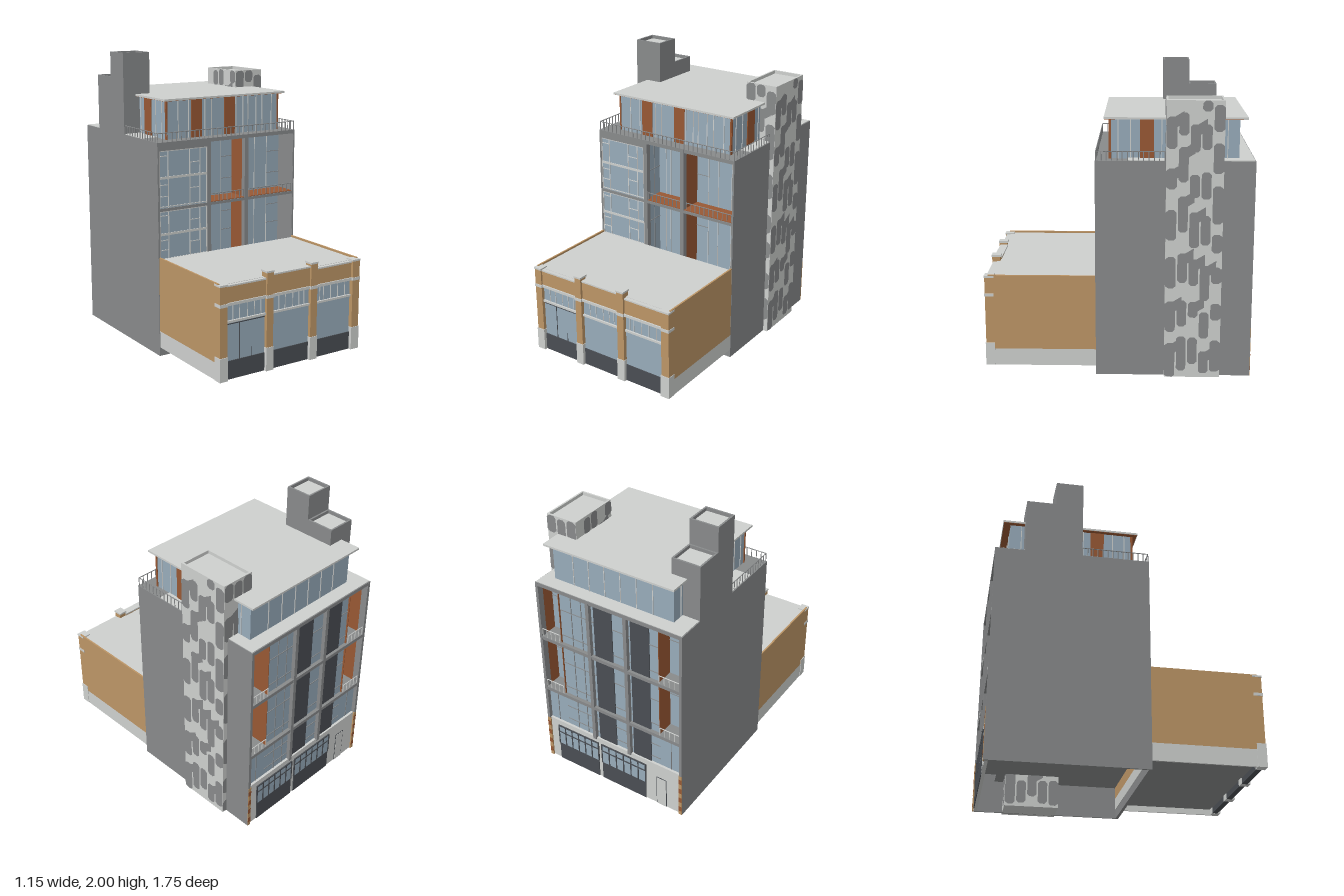
import * as THREE from 'three';

const mat = (name, color) => {
  const m = new THREE.MeshStandardMaterial({ color });
  m.name = name;
  return m;
};

export function createModel() {
  const concrete = mat('concrete', 0x888a8b), light = mat('light stone', 0xced0ce);
  const tan = mat('tan brick', 0xbc9566), glass = mat('glass', 0x97abba);
  const charcoal = mat('charcoal', 0x4a4e53), rust = mat('terracotta panel', 0x985834);
  const root = new THREE.Group();
  root.name = 'building';
  let target = root;
  const part = (name) => {
    target = new THREE.Group();
    target.name = name;
    root.add(target);
  };
  const box = (name, m, x0, x1, y0, y1, z0, z1) => {
    const mesh = new THREE.Mesh(new THREE.BoxGeometry(x1 - x0, y1 - y0, z1 - z0), m);
    mesh.position.set((x0 + x1) / 2, (y0 + y1) / 2, (z0 + z1) / 2);
    mesh.name = name;
    target.add(mesh);
  };
  // thin plate standing on a plane; u runs along x for z faces and along z for x faces
  const plate = (name, m, face, d, u0, u1, y0, y1, t = 0.004) => {
    const e = face[0] === '+' ? d + t : d - t, a = Math.min(d, e), b = Math.max(d, e);
    if (face[1] === 'z') box(name, m, u0, u1, y0, y1, a, b);
    else box(name, m, a, b, y0, y1, u0, u1);
  };
  // glazing with vertical bars at us and horizontal bars at ys
  const glazing = (face, d, u0, u1, y0, y1, us = [], ys = [], m = light, w = 0.006) => {
    plate('glazing', glass, face, d, u0, u1, y0, y1, 0.004);
    for (const u of us) plate('mullion', m, face, d, u - w / 2, u + w / 2, y0, y1, 0.008);
    for (const y of ys) plate('transom', m, face, d, u0, u1, y - w / 2, y + w / 2, 0.008);
  };
  // round rod between two points
  const rod = (name, m, a, b) => {
    const dir = b.clone().sub(a);
    const mesh = new THREE.Mesh(new THREE.CylinderGeometry(0.003, 0.003, dir.length(), 16), m);
    mesh.position.copy(a).addScaledVector(dir, 0.5);
    mesh.quaternion.setFromUnitVectors(new THREE.Vector3(0, 1, 0), dir.normalize());
    mesh.name = name;
    target.add(mesh);
  };
  const railing = (x0, z0, x1, z1, y, h, m) => {
    const a = new THREE.Vector3(x0, y, z0), b = new THREE.Vector3(x1, y, z1), up = new THREE.Vector3(0, h, 0);
    const n = Math.max(2, Math.round(a.distanceTo(b) / 0.035));
    for (let i = 0; i <= n; i++) {
      const foot = a.clone().lerp(b, i / n);
      rod('railingPost', m, foot, foot.clone().add(up));
    }
    rod('handrail', m, a.add(up), b.add(up));
  };
  // open-topped shaft with a rim
  const shaft = (name, m, x0, x1, y0, y1, z0, z1) => {
    const t = 0.012;
    box(name, m, x0, x1, y0, y1 - 0.03, z0, z1);
    box('shaft cap', light, x0 + t, x1 - t, y1 - 0.03, y1 - 0.022, z0 + t, z1 - t);
    for (const [a, b] of [[x0, x0 + t], [x1 - t, x1]]) box('shaft rim', m, a, b, y1 - 0.03, y1, z0, z1);
    for (const [a, b] of [[z0, z0 + t], [z1 - t, z1]]) box('shaft rim', m, x0 + t, x1 - t, y1 - 0.03, y1, a, b);
  };

  // main block: side walls, core, slabs
  part('mainBlock');
  box('leftPartyWall', concrete, 0.528, 0.54, 0, 1.45, -0.875, 0.145);
  box('rightPartyWall', concrete, -0.572, -0.558, 0, 1.45, -0.875, 0.145);
  box('core', concrete, -0.558, 0.528, 0.22, 1.43, -0.735, -0.03);
  box('frontUnderside', concrete, -0.558, 0.528, 0.22, 0.56, -0.03, 0.125);
  box('frontBase', concrete, -0.558, 0.528, 0, 0.66, 0.125, 0.145);
  plate('innerBaseBand', light, '-z', 0.125, -0.558, 0.528, 0.06, 0.14);
  plate('innerBrickBand', tan, '-z', 0.125, -0.558, 0.528, 0.14, 0.22);
  box('roofSlab', concrete, -0.572, 0.54, 1.425, 1.45, -0.875, 0.145);
  box('rearRoof', light, -0.567, 0.535, 1.45, 1.454, -0.87, -0.06);

  // front facade
  part('frontFacade');
  box('frontBayBlock', concrete, -0.558, -0.182, 0.56, 1.43, -0.03, 0.135);
  for (const [a, b] of [[-0.19, -0.16], [0.115, 0.145], [0.53, 0.54], [-0.57, -0.558]])
    box('frontColumn', concrete, a, b, 0.64, 1.45, 0.11, 0.146);
  box('middleSlab', concrete, -0.56, 0.53, 0.993, 1.012, -0.03, 0.146);
  box('leftBayHead', concrete, -0.56, -0.18, 1.395, 1.45, 0.11, 0.146);
  box('recessDivider', rust, 0.12, 0.14, 0.56, 1.425, -0.03, 0.11);
  for (const [y0, y1] of [[0.66, 0.993], [1.012, 1.395]]) {
    const upper = y0 > 1, mid = y0 + (y1 - y0) * 0.53, top = upper ? 1.425 : y1, low = upper ? y0 : 0.56;
    glazing('+z', 0.135, -0.558, -0.19, y0, y1, [-0.555, -0.49, -0.325, -0.245, -0.193], [y0 + 0.01, y1 - 0.003]);
    plate('bayBand', light, '+z', 0.135, -0.558, -0.19, mid - 0.008, mid + 0.008, 0.009);
    for (const [u0, u1, y] of [[-0.555, -0.49, 0.2], [-0.555, -0.49, 0.4], [-0.555, -0.49, 0.9], [-0.325, -0.245, 0.75], [-0.325, -0.245, 0.3]])
      plate('shortTransom', light, '+z', 0.135, u0, u1, y0 + (y1 - y0) * y, y0 + (y1 - y0) * y + 0.005, 0.008);
    glazing('+z', -0.03, -0.182, 0.12, low, top, [-0.12, -0.08, 0.03], [], light, 0.004);
    glazing('+z', -0.03, 0.14, 0.528, low, top, [0.235, 0.315, 0.42], [], light, 0.004);
    for (const [u0, u1, y] of [[0.03, 0.12, 0.3], [0.03, 0.12, 0.7], [0.14, 0.235, 0.55], [0.42, 0.528, 0.3], [0.42, 0.528, 0.7]])
      plate('shortTransom', concrete, '+z', -0.03, u0, u1, y0 + (y1 - y0) * y, y0 + (y1 - y0) * y + 0.004, 0.008);
    glazing('+x', -0.182, -0.03, 0.11, low, top, [0.04], [mid], concrete, 0.004);
    if (upper) for (const [a, b] of [[-0.178, 0.12], [0.14, 0.528]]) {
      box('balconyFloor', rust, a, b, y0, y0 + 0.004, -0.026, 0.14);
      railing(a + 0.02, 0.135, b - 0.008, 0.135, y0, 0.055, concrete);
    }
  }

  // rear facade with a balcony recess at each end
  part('rearFacade');
  box('rearBayBlock', concrete, -0.39, 0.37, 0.22, 1.43, -0.845, -0.735);
  for (const [a, b] of [[-0.57, -0.55], [-0.165, -0.14], [0.12, 0.145], [0.52, 0.54]])
    box('rearColumn', concrete, a, b, 0.33, 1.45, -0.876, -0.83);
  for (const y of [0.6, 1.02]) box('rearSlab', concrete, -0.56, 0.53, y - 0.012, y + 0.012, -0.874, -0.73);
  for (const [y0, y1] of [[0.33, 0.588], [0.612, 1.008], [1.032, 1.425]]) {
    const mid = y0 + (y1 - y0) * 0.65;
    glazing('-z', -0.845, -0.39, 0.37, y0, y1, [-0.23, 0.02, 0.07, 0.2, 0.28], [mid, y0 + 0.06], concrete, 0.004);
    for (const [a, b] of [[-0.32, -0.18], [-0.04, 0.1]])
      plate('rearDarkPanel', charcoal, '-z', -0.845, a, b, y0, y1, 0.0095);
    for (const [a, b] of [[-0.558, -0.39], [0.37, 0.528]]) {
      glazing('-z', -0.735, a, b, y0, y1, [(a + b) / 2], [mid], concrete, 0.004);
      if (y0 < 0.5) {
        glazing('-z', -0.845, a, b, y0, y1, [(a + b) / 2], [], concrete, 0.004);
        continue;
      }
      plate('recessLining', rust, '+x', a, -0.86, -0.735, y0, y1);
      plate('recessLining', rust, '-x', b, -0.86, -0.735, y0, y1);
      railing(a + 0.01, -0.868, b - 0.01, -0.868, y0, 0.06, light);
    }
  }
  box('rearGroundWall', light, -0.558, 0.528, 0, 0.34, -0.866, -0.845);
  for (const [a, b] of [[-0.57, -0.545], [0.515, 0.54]]) {
    box('rearBrickPier', tan, a, b, 0, 0.34, -0.877, -0.868);
    for (let i = 0; i < 4; i++) plate('brickCourse', rust, '-z', -0.877, a, b, 0.03 + i * 0.08, 0.07 + i * 0.08, 0.001);
  }
  for (const [a, b] of [[-0.28, 0.08], [0.11, 0.45]]) {
    plate('shopPlinth', charcoal, '-z', -0.866, a, b, 0, 0.14, 0.005);
    glazing('-z', -0.866, a, b, 0.14, 0.3, [0, 1, 2, 3, 4, 5, 6].map(i => a + (b - a) * i / 6), [0.245, 0.297], charcoal, 0.008);
  }
  plate('doorFrame', charcoal, '-z', -0.866, -0.445, -0.365, 0, 0.235, 0.002);
  plate('rearDoor', light, '-z', -0.866, -0.44, -0.37, 0, 0.23, 0.004);

  // penthouse and roof terrace
  part('penthouse');
  box('penthouseCore', glass, -0.446, 0.451, 1.45, 1.705, -0.771, 0.051);
  const bars = (a, b, n) => Array.from({ length: n + 1 }, (_, i) => a + (b - a) * i / n);
  glazing('+z', 0.051, -0.45, 0.455, 1.45, 1.705, [-0.36, -0.28, -0.15, -0.1, 0.1, 0.16, 0.2, 0.27, 0.32, 0.4], [], light, 0.005);
  glazing('-z', -0.771, -0.45, 0.455, 1.45, 1.705, bars(-0.3, 0.3, 5), [], light, 0.005);
  for (const [f, d] of [['+x', 0.451], ['-x', -0.446]]) {
    glazing(f, d, -0.771, 0.051, 1.45, 1.705, [-0.7, -0.28, -0.08, 0], [], light, 0.005);
    plate('sidePanel', rust, f, d, -0.23, -0.14, 1.45, 1.705, 0.009);
    plate('cornerPanel', rust, f, d, 0.045, 0.055, 1.45, 1.705, 0.009);
  }
  for (const [a, b] of [[-0.26, -0.175], [0.005, 0.09], [-0.453, -0.443], [0.448, 0.458]])
    plate('frontPanel', rust, '+z', 0.051, a, b, 1.45, 1.705, 0.009);
  box('roofSoffit', rust, -0.478, 0.486, 1.705, 1.707, -0.821, 0.086);
  box('penthouseRoof', light, -0.482, 0.49, 1.707, 1.72, -0.825, 0.09);
  railing(-0.565, 0.14, 0.535, 0.14, 1.45, 0.06, concrete);
  for (const x of [-0.565, 0.535]) railing(x, 0.14, x, -0.3, 1.45, 0.06, concrete);

  // rooftop shafts
  part('roofShafts');
  shaft('tallShaft', concrete, -0.572, -0.37, 1.44, 2, -0.485, -0.302);
  shaft('lowShaft', concrete, -0.572, -0.37, 1.44, 1.83, -0.68, -0.485);

  // stair tower with a pattern of rounded vertical patches
  part('stairTower');
  shaft('towerBody', light, 0.345, 0.572, 0, 1.84, -0.672, -0.307);
  let seed = 7;
  const rnd = () => (seed = (seed * 16807) % 2147483647) / 2147483647;
  const patches = (width, x, z, turn) => {
    const face = new THREE.Group();
    face.name = 'towerPattern';
    face.position.set(x, 0, z);
    face.rotation.y = turn;
    const add = (pts) => {
      const mesh = new THREE.Mesh(new THREE.ShapeGeometry(new THREE.Shape(pts.map(p => new THREE.Vector2(...p)))), concrete);
      mesh.name = 'towerPatch';
      face.add(mesh);
    };
    const n = Math.round(width / 0.073), step = width / n, r = step * 0.43, c = r * 0.5;
    for (let i = 0; i < n; i++) {
      // outer columns reach the corners
      const u = -width / 2 + step * (i + 0.5), l = i === 0 ? step / 2 : r, k = i === n - 1 ? step / 2 : r;
      let y = rnd() * 0.1;
      while (y < 1.78) {
        const top = Math.min(1.838, y + 0.1 + rnd() * 0.15);
        add([[u - c, y], [u + c, y], [u + k, y + c], [u + k, top - c], [u + c, top], [u - c, top], [u - l, top - c], [u - l, y + c]]);
        // slanted link to the next column
        if (i < n - 1 && rnd() < 0.6 && top < 1.75)
          add([[u, top - 0.085], [u + step, top - 0.04], [u + step, top + 0.035], [u, top - 0.01]]);
        y = top + 0.06 + rnd() * 0.09;
      }
    }
    target.add(face);
  };
  patches(0.365, 0.5745, -0.4895, Math.PI / 2);
  patches(0.365, 0.342, -0.4895, -Math.PI / 2);
  patches(0.227, 0.4585, -0.304, 0);
  patches(0.227, 0.4585, -0.675, Math.PI);

  // front podium
  part('podium');
  for (const [a, b] of [[-0.568, -0.556], [0.526, 0.538]]) {
    box('podiumSideBase', light, a, b, 0.06, 0.175, 0.145, 0.85);
    box('podiumSideWall', tan, a, b, 0.175, 0.685, 0.145, 0.85);
  }
  box('podiumFloor', concrete, -0.556, 0.526, 0.1, 0.11, 0.145, 0.84);
  box('podiumRoof', light, -0.556, 0.526, 0.64, 0.672, 0.145, 0.84);
  for (const [a, b, top, us] of [[-0.515, -0.215, 0.67, [-0.46, -0.41, -0.35, -0.3, -0.25]],
    [-0.165, 0.13, 0.69, [-0.11, -0.06, 0.0, 0.05, 0.09]], [0.185, 0.475, 0.67, [0.22, 0.25, 0.31, 0.37, 0.43]]]) {
    box('shopfrontPlinth', charcoal, a, b, 0.06, 0.18, 0.82, 0.856);
    box('shopfrontWindow', glass, a, b, 0.18, 0.43, 0.82, 0.85);
    box('shopfrontBeam', light, a, b, 0.428, 0.442, 0.82, 0.862);
    box('transomWindow', glass, a, b, 0.442, 0.54, 0.82, 0.85);
    for (const u of us) plate('transomBar', light, '+z', 0.85, u - 0.002, u + 0.002, 0.442, 0.54, 0.004);
    box('bayFrieze', tan, a, b, 0.555, top - 0.01, 0.815, 0.86);
    box('bayBand', light, a, b, 0.54, 0.558, 0.815, 0.868);
    box('bayCoping', light, a, b, top - 0.01, top, 0.812, 0.866);
  }
  for (const [u, y0, y1] of [[-0.41, 0.18, 0.42], [-0.32, 0.18, 0.24]])
    plate('doorJoint', charcoal, '+z', 0.85, u - 0.002, u + 0.002, y0, y1, 0.003);
  plate('doorHead', charcoal, '+z', 0.85, -0.515, -0.215, 0.415, 0.421, 0.003);
  for (const [a, b, top] of [[-0.568, -0.515, 0.68], [-0.218, -0.168, 0.715], [0.13, 0.182, 0.715], [0.48, 0.538, 0.68]]) {
    box('pierBase', light, a - 0.004, b + 0.003, 0.06, 0.215, 0.815, 0.877);
    box('pier', tan, a, b, 0.215, top - 0.012, 0.818, 0.873);
    box('pierBand', light, a - 0.003, b + 0.003, 0.538, 0.558, 0.816, 0.877);
    box('pierCap', light, a - 0.004, b + 0.003, top - 0.012, top, 0.812, 0.877);
  }
  return root;
}
